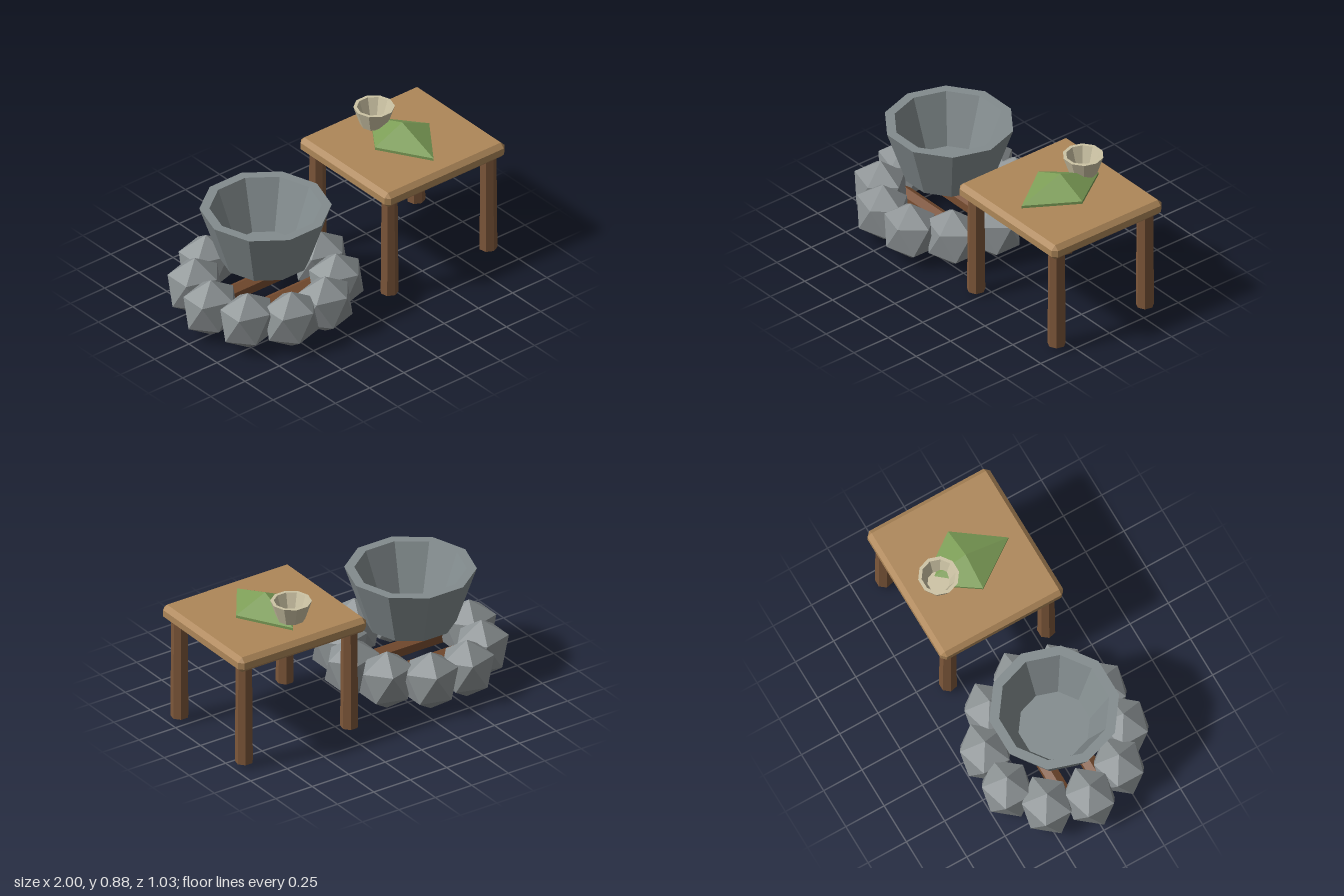
import * as THREE from 'three';
import { ConvexGeometry } from 'three/addons/geometries/ConvexGeometry.js';

const mat = (name, color) => {
  const m = new THREE.MeshStandardMaterial({ color });
  m.name = name;
  return m;
};

// Give every face its own normal for the low-poly look
function faceted(geometry) {
  const g = geometry.index ? geometry.toNonIndexed() : geometry;
  g.computeVertexNormals();
  return g;
}

function part(parent, name, geometry, material, x = 0, y = 0, z = 0) {
  const mesh = new THREE.Mesh(faceted(geometry), material);
  mesh.name = name;
  mesh.position.set(x, y, z);
  parent.add(mesh);
  return mesh;
}

function group(parent, name, x = 0) {
  const g = new THREE.Group();
  g.name = name;
  g.position.x = x;
  parent.add(g);
  return g;
}

// Ten-sided open vessel with a flat rim and floor
function vessel(bottomR, topR, rimR, floorR, height, floorY) {
  const profile = [
    [0, 0], [bottomR, 0], [topR, height], [rimR, height], [floorR, floorY], [0, floorY],
  ].map(([r, y]) => new THREE.Vector2(r, y));
  return new THREE.LatheGeometry(profile, 10, Math.PI / 2);
}

// Box with every edge and corner cut by c
function chamferBox(w, h, d, c) {
  const points = [];
  for (const sx of [-1, 1]) for (const sy of [-1, 1]) for (const sz of [-1, 1]) {
    const [x, y, z] = [w / 2, h / 2, d / 2];
    points.push(
      new THREE.Vector3(sx * x, sy * (y - c), sz * (z - c)),
      new THREE.Vector3(sx * (x - c), sy * y, sz * (z - c)),
      new THREE.Vector3(sx * (x - c), sy * (y - c), sz * z),
    );
  }
  return new ConvexGeometry(points);
}

export function createModel() {
  const stoneGrey = mat('stone grey', 0x8c9294);
  const potGrey = mat('pot grey', 0x838c8e);
  const tableWood = mat('table wood', 0xae8759);
  const legWood = mat('leg wood', 0x7d573a);
  const logWood = mat('log wood', 0x784d30);
  const leafGreen = mat('leaf green', 0x7d9e57);
  const bowlCream = mat('bowl cream', 0xcdc4a5);

  const model = new THREE.Group();
  model.name = 'outdoorKitchen';

  // Fire pit: ring of stones, two logs and the pot
  const firePit = group(model, 'firePit', -0.44);
  const stone = new THREE.IcosahedronGeometry(0.182, 0);
  stone.rotateZ(-Math.atan(2 / (1 + Math.sqrt(5)))); // stand on one corner
  stone.scale(1, 1, 0.87);
  for (let i = 0; i < 10; i++) {
    const a = (i * Math.PI) / 5;
    part(firePit, 'stone', stone, stoneGrey, 0.4 * Math.cos(a), 0.186, 0.4 * Math.sin(a));
  }
  for (const side of [-1, 1]) {
    const log = new THREE.CylinderGeometry(0.05, 0.05, 0.62, 6);
    log.rotateY(Math.PI / 6).rotateZ(Math.PI / 2);
    part(firePit, 'log', log, logWood, 0, 0.125, side * 0.11);
  }
  part(firePit, 'pot', vessel(0.26, 0.375, 0.318, 0.206, 0.338, 0.04), potGrey, 0, 0.362, 0);

  // Table: chamfered top on four seven-sided legs
  const table = group(model, 'table', 0.561);
  part(table, 'tableTop', chamferBox(0.878, 0.095, 0.8, 0.027), tableWood, 0, 0.688, 0);
  for (const sx of [-1, 1]) for (const sz of [-1, 1]) {
    const leg = new THREE.CylinderGeometry(0.048, 0.053, 0.625, 7);
    part(table, 'leg', leg, legWood, sx * 0.361, 0.339, sz * 0.321);
  }

  // Folded leaf: shallow diamond pyramid with a thin rim
  const leafPoints = [new THREE.Vector3(0, 0.855, 0)];
  for (const s of [-1, 1]) {
    leafPoints.push(
      new THREE.Vector3(s * 0.198, 0.768, 0), new THREE.Vector3(s * 0.198, 0.752, 0),
      new THREE.Vector3(0, 0.752, s * 0.28), new THREE.Vector3(0, 0.736, s * 0.28),
    );
  }
  part(table, 'leaf', new ConvexGeometry(leafPoints), leafGreen, -0.003, 0, 0);

  // Small bowl at the back of the table
  part(table, 'bowl', vessel(0.08, 0.118, 0.098, 0.064, 0.115, 0.015), bowlCream, -0.044, 0.765, -0.2);

  return model;
}
